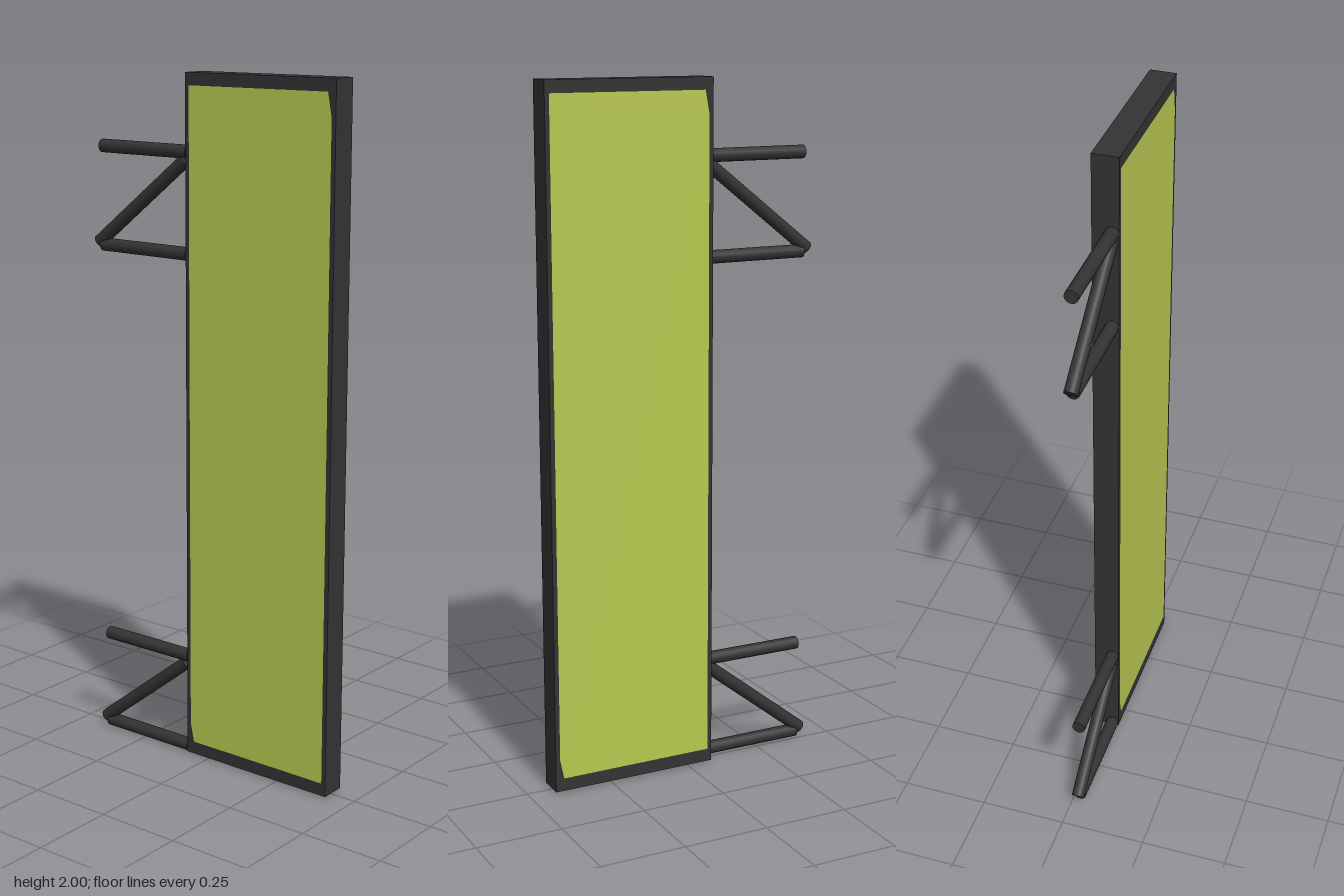
import * as THREE from 'three';

const dark = new THREE.MeshStandardMaterial({ color: 0x333333 });
const lime = new THREE.MeshStandardMaterial({ color: 0xb8c850 });
const MID_Z = 0.175; // centre of the board in depth
const BAR_X = -0.019, BAR_R = 0.0193;

// Round bar between two (y, z) points
function bar(name, y0, z0, y1, z1) {
  const a = new THREE.Vector3(BAR_X, y0, z0), b = new THREE.Vector3(BAR_X, y1, z1);
  const mesh = new THREE.Mesh(new THREE.CylinderGeometry(BAR_R, BAR_R, a.distanceTo(b), 16), dark);
  mesh.name = name;
  mesh.position.copy(a).add(b).multiplyScalar(0.5);
  mesh.quaternion.setFromUnitVectors(new THREE.Vector3(0, 1, 0), b.sub(a).normalize());
  return mesh;
}

// Z-shaped wall bracket whose lower bar lies at height y
function bracket(name, y) {
  const g = new THREE.Group();
  g.name = name;
  g.add(
    bar('lowerBar', y, -0.078, y, -0.395),
    bar('upperBar', y + 0.284, -0.078, y + 0.284, -0.395),
    bar('diagonalBrace', y + 0.262, -0.088, y + 0.007, -0.411)
  );
  return g;
}

export function createModel() {
  const model = new THREE.Group();
  model.name = 'wallSign';

  // Slab forming the frame
  const frame = new THREE.Mesh(new THREE.BoxGeometry(0.075, 1.995, 0.5), dark);
  frame.name = 'frame';
  frame.position.set(0, 1.0025, MID_Z);
  model.add(frame);

  // Coloured panel with two narrow cut corners, one on each broad side
  const outline = [[-0.225, 0.043], [0.237, 0.043], [0.237, 1.9], [0.225, 1.965], [-0.237, 1.965], [-0.237, 0.1]];
  const panelGeo = new THREE.ShapeGeometry(new THREE.Shape(outline.map(([u, v]) => new THREE.Vector2(u, v))));
  for (const side of [1, -1]) {
    const panel = new THREE.Mesh(panelGeo, lime);
    panel.name = side > 0 ? 'leftPanel' : 'rightPanel';
    panel.rotation.y = side * Math.PI / 2;
    panel.position.set(side * 0.0382, 0, MID_Z);
    model.add(panel);
  }

  // Brackets on the back edge
  model.add(bracket('lowerBracket', 0.0195), bracket('upperBracket', 1.499));
  return model;
}
